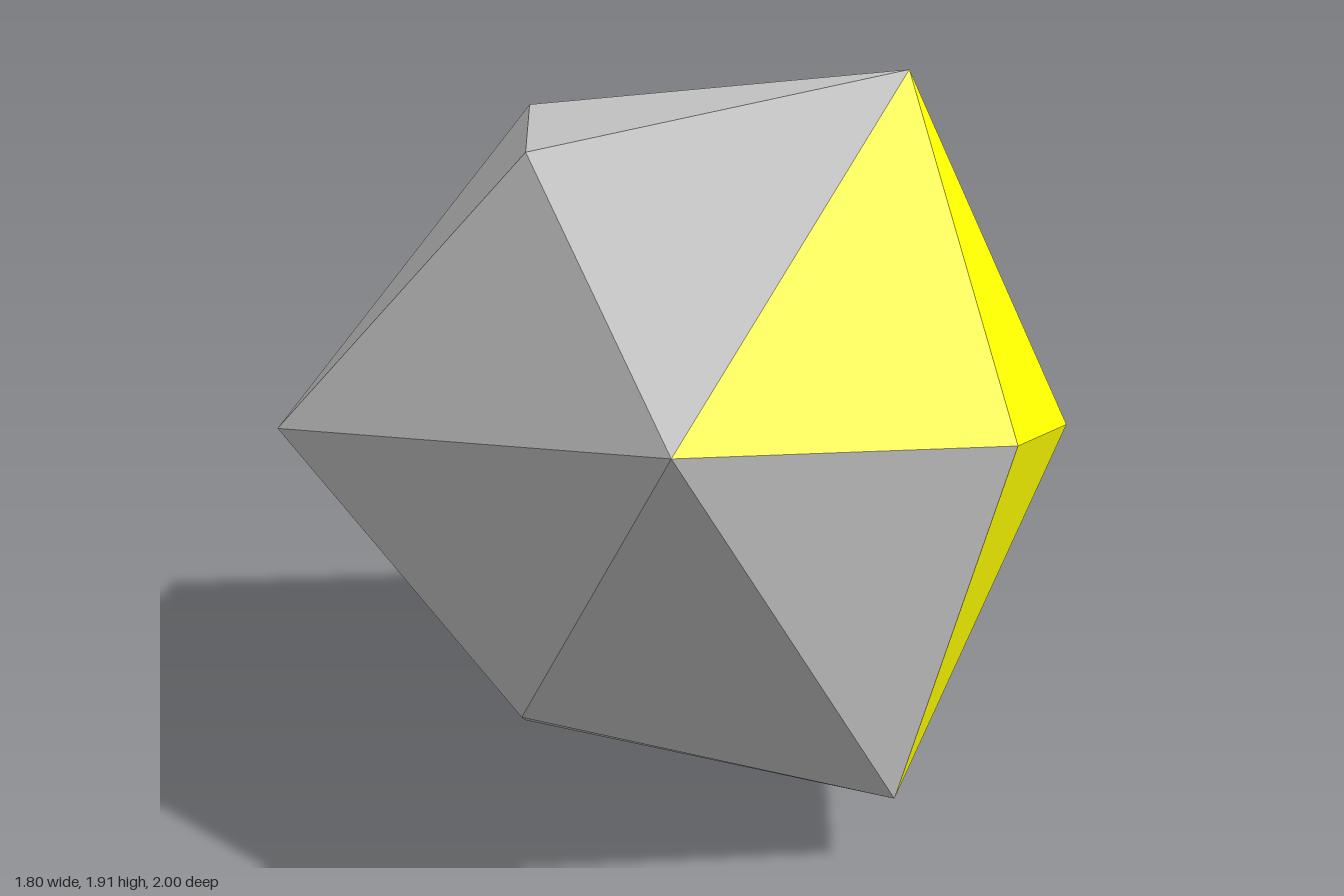
import * as THREE from 'three';

const HALF = 0.63;          // half edge of the inner cube
const APEX = 1.5 * HALF;    // pyramid tip distance from the centre
const CENTRE_Y = 0.953;

// Tilted, right-handed frame of the inner cube
const X = new THREE.Vector3(0.952, 0.15, 0.267).normalize();
const Y = new THREE.Vector3(-0.267, 0.83, 0.484);
Y.addScaledVector(X, -Y.dot(X)).normalize();
const AXES = [X, Y, new THREE.Vector3().crossVectors(X, Y)];

// Yellow sides of each pyramid, keyed by axis and direction
const YELLOW = { '0,1': [1, 2, 3], '1,-1': [2] };

function facets(name, triangles, color) {
  const geometry = new THREE.BufferGeometry().setFromPoints(triangles.flat());
  geometry.computeVertexNormals();
  const mesh = new THREE.Mesh(
    geometry,
    new THREE.MeshStandardMaterial({ color, flatShading: true })
  );
  mesh.name = name;
  return mesh;
}

// A four-sided pyramid standing on one face of the inner cube
function pyramid(axis, sign) {
  const n = AXES[axis].clone().multiplyScalar(sign);
  const u = AXES[(axis + 1) % 3];
  const v = AXES[(axis + 2) % 3].clone().multiplyScalar(sign);
  const tip = n.clone().multiplyScalar(APEX);
  const corners = [[1, 1], [-1, 1], [-1, -1], [1, -1]].map(([a, b]) =>
    n.clone().addScaledVector(u, a).addScaledVector(v, b).multiplyScalar(HALF));
  return corners.map((c, i) => [tip, c, corners[(i + 1) % 4]]);
}

export function createModel() {
  const model = new THREE.Group();
  model.name = 'tetrakisCube';
  const body = new THREE.Group();
  body.name = 'facetedBody';
  body.position.y = CENTRE_Y;
  model.add(body);

  for (let axis = 0; axis < 3; axis++) {
    for (const sign of [1, -1]) {
      const yellow = YELLOW[`${axis},${sign}`] ?? [];
      const sides = pyramid(axis, sign);
      const group = new THREE.Group();
      group.name = 'pyramid';
      group.add(facets('greySides', sides.filter((_, i) => !yellow.includes(i)), 0xcccccc));
      if (yellow.length) group.add(facets('yellowSides', yellow.map(i => sides[i]), 0xffff00));
      body.add(group);
    }
  }
  return model;
}
